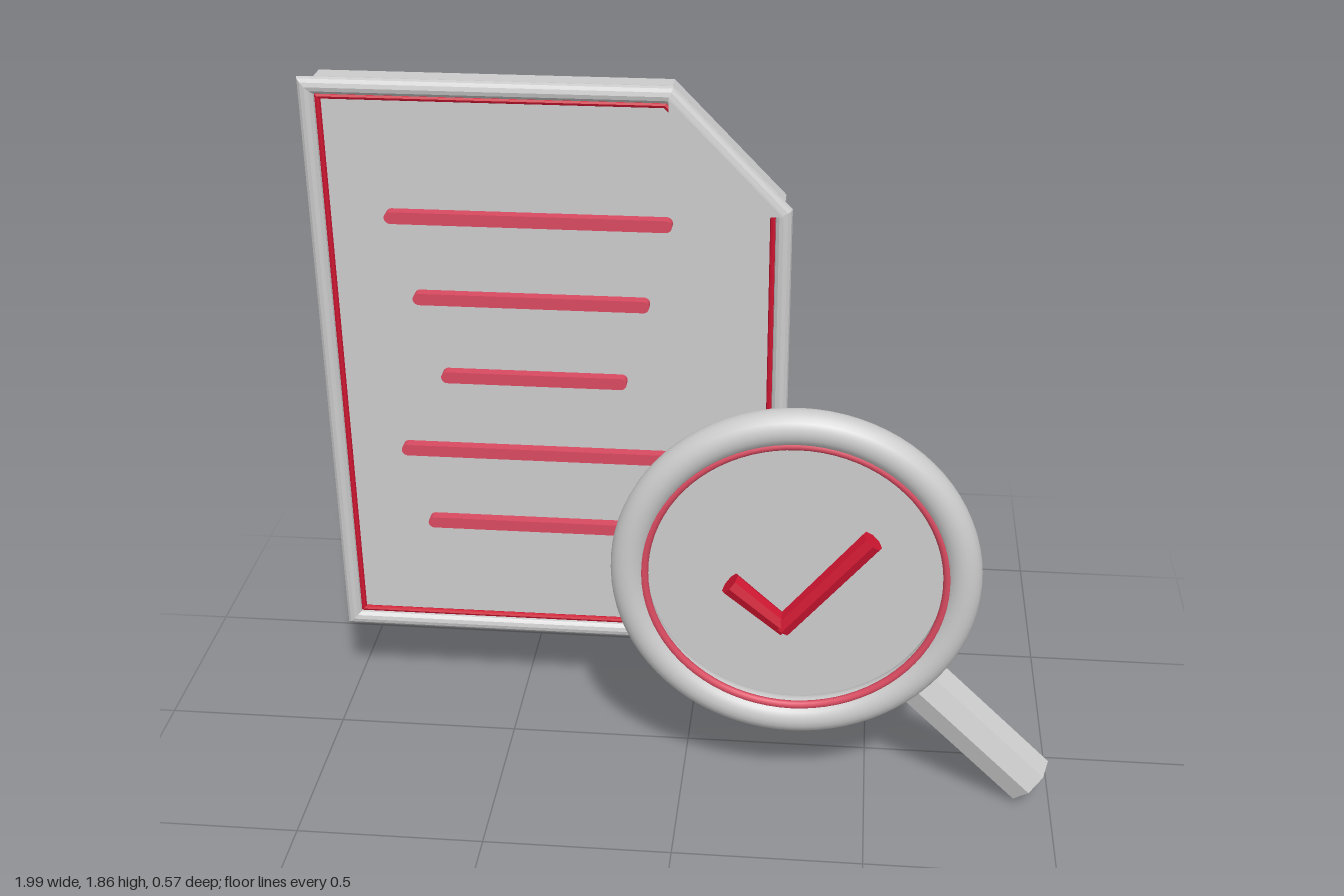
import * as THREE from 'three';

const V2 = (x, y) => new THREE.Vector2(x, y);
const grey = new THREE.MeshStandardMaterial({ color: 0xcccccc });
const greyFlat = new THREE.MeshStandardMaterial({ color: 0xcccccc, flatShading: true });
const red = new THREE.MeshStandardMaterial({ color: 0xd94a60 });
const crimson = new THREE.MeshStandardMaterial({ color: 0xcc1530, flatShading: true });

// Page outline, counter-clockwise, with the top corner cut off
const outline = [V2(-0.98, 0.27), V2(0.23, 0.27), V2(0.23, 1.55), V2(-0.06, 1.85), V2(-0.98, 1.85)];

function part(parent, name, geometry, material) {
  const mesh = new THREE.Mesh(geometry, material);
  mesh.name = name;
  parent.add(mesh);
  return mesh;
}

function slab(points, back, front) {
  const g = new THREE.ExtrudeGeometry(new THREE.Shape(points), { depth: front - back, bevelEnabled: false });
  return g.translate(0, 0, back);
}

// Round rail swept along a closed outline with mitred corners, pushed outward by offset
function rail(points, offset, radius, z, sides = 12) {
  const n = points.length, pos = [], index = [];
  const normals = points.map((p, i) => {
    const d = points[(i + 1) % n].clone().sub(p).normalize();
    return V2(d.y, -d.x);
  });
  for (let i = 0; i <= n; i++) {
    const a = normals[(i + n - 1) % n], b = normals[i % n], p = points[i % n];
    const mitre = a.clone().add(b).divideScalar(1 + a.dot(b));
    for (let j = 0; j < sides; j++) {
      const t = (j / sides) * Math.PI * 2, o = offset + radius * Math.cos(t);
      pos.push(p.x + mitre.x * o, p.y + mitre.y * o, z + radius * Math.sin(t));
      if (i === n) continue;
      const k = i * sides + j, m = i * sides + (j + 1) % sides;
      index.push(k, k + sides, m, m, k + sides, m + sides);
    }
  }
  const g = new THREE.BufferGeometry();
  g.setAttribute('position', new THREE.Float32BufferAttribute(pos, 3));
  g.setIndex(index);
  g.computeVertexNormals();
  return g;
}

// Straight eight-sided rod between two points
function rod(parent, name, from, to, r0, r1, material) {
  const dir = to.clone().sub(from);
  const mesh = part(parent, name, new THREE.CylinderGeometry(r1, r0, dir.length(), 8), material);
  mesh.position.copy(from).add(to).multiplyScalar(0.5);
  mesh.quaternion.setFromUnitVectors(new THREE.Vector3(0, 1, 0), dir.normalize());
  return mesh;
}

// Bar with round ends
function textBar(x0, x1, y) {
  const r = 0.016, s = new THREE.Shape();
  s.absarc(x1 - r, y, r, -Math.PI / 2, Math.PI / 2);
  s.absarc(x0 + r, y, r, Math.PI / 2, Math.PI * 1.5);
  return new THREE.ExtrudeGeometry(s, { depth: 0.029, bevelEnabled: false, curveSegments: 8 }).translate(0, 0, -0.124);
}

function createPage() {
  const page = new THREE.Group();
  page.name = 'page';
  part(page, 'sheet', slab(outline, -0.29, -0.165), grey);
  part(page, 'frame', rail(outline, 0, 0.022, -0.16), greyFlat);
  part(page, 'innerBorder', rail(outline, -0.027, 0.008, -0.16, 8), crimson);
  part(page, 'foldedCorner', slab([V2(-0.06, 1.55), V2(0.23, 1.55), V2(-0.06, 1.85)], -0.145, -0.122), grey);
  // Lines of writing, centred on one axis
  const halfWidths = [0.37, 0.31, 0.248, 0.37, 0.31];
  halfWidths.forEach((w, i) => part(page, 'textLine' + (i + 1), textBar(-0.42 - w, -0.42 + w, 1.525 - i * 0.2238), red));
  return page;
}

function createMagnifier() {
  const glass = new THREE.Group();
  glass.name = 'magnifier';
  glass.position.set(0.295, 0.705, 0);
  part(glass, 'rim', new THREE.TorusGeometry(0.43, 0.047, 20, 80), grey).position.z = 0.216;
  part(glass, 'rimInlay', new THREE.TorusGeometry(0.388, 0.011, 10, 80), red).position.z = 0.238;
  // Lens: a disc backed by a slightly narrower one
  const layer = (name, radius, back, front) => {
    const g = new THREE.CylinderGeometry(radius, radius, front - back, 64).rotateX(Math.PI / 2);
    part(glass, name, g, grey).position.z = (front + back) / 2;
  };
  layer('lens', 0.425, 0.137, 0.19);
  layer('lensBack', 0.418, 0.112, 0.137);
  const at = (x, y, z) => new THREE.Vector3(x, y, z);
  rod(glass, 'handle', at(0.32, -0.32, 0.16), at(0.645, -0.64, 0.16), 0.075, 0.075, greyFlat);
  // Check mark
  const z = 0.252;
  rod(glass, 'checkShortStroke', at(-0.165, -0.01, z), at(-0.02, -0.135, z), 0.031, 0.026, crimson);
  rod(glass, 'checkLongStroke', at(-0.03, -0.135, z), at(0.193, 0.134, z), 0.029, 0.031, crimson);
  return glass;
}

export function createModel() {
  const model = new THREE.Group();
  model.name = 'documentReview';
  model.add(createPage(), createMagnifier());
  return model;
}
